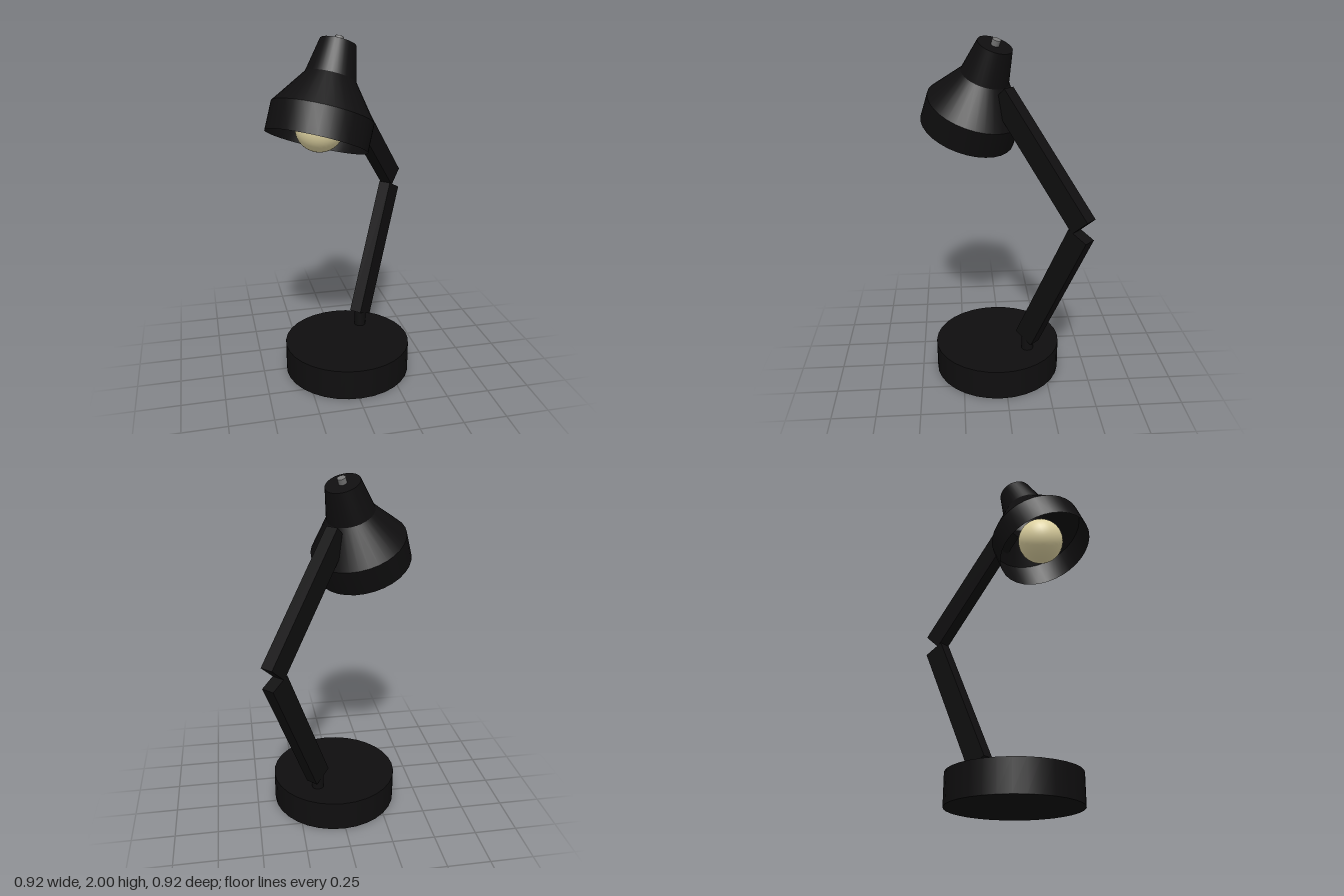
import * as THREE from 'three';
import { toCreasedNormals } from 'three/addons/utils/BufferGeometryUtils.js';

const paint = (color, side = THREE.FrontSide) => new THREE.MeshStandardMaterial({ color, side });

export function createModel() {
  const black = paint(0x0f0e0f);
  const blackShell = paint(0x0f0e0f, THREE.DoubleSide);
  const metal = paint(0x777777);
  const glass = paint(0xe2d6a4);

  const model = new THREE.Group();
  model.name = 'deskLamp';

  // The arms bend in one plane (local x, y), turned diagonally to the front
  const lamp = new THREE.Group();
  lamp.name = 'lamp';
  lamp.rotation.y = Math.PI / 4;
  model.add(lamp);

  const add = (parent, name, geometry, material, x, y, z = 0, tilt = 0) => {
    const mesh = new THREE.Mesh(geometry, material);
    mesh.name = name;
    mesh.position.set(x, y, z);
    mesh.rotation.z = tilt;
    parent.add(mesh);
    return mesh;
  };

  // Heavy round base and the short post on it
  add(lamp, 'base', new THREE.CylinderGeometry(0.375, 0.375, 0.18, 32), black, -0.016, 0.09, 0.034);
  add(lamp, 'post', new THREE.CylinderGeometry(0.035, 0.035, 0.12, 20), black, 0.195, 0.235);

  // Two equal flat arms
  const arm = new THREE.BoxGeometry(0.1275, 0.843, 0.075);
  add(lamp, 'lowerArm', arm, black, 0.371, 0.645, 0, -0.434);
  add(lamp, 'upperArm', arm, black, 0.2785, 1.39, 0, 0.739);

  // Tilted head, its origin at the centre of the rim
  const head = new THREE.Group();
  head.name = 'head';
  head.position.set(-0.271, 1.465, 0);
  head.rotation.z = -0.41;
  lamp.add(head);

  // Open shade: straight band, cone, neck and flat cap
  const profile = [[0.28, 0], [0.28, 0.157], [0.14, 0.351], [0.1, 0.54], [0, 0.54]]
    .map(([r, y]) => new THREE.Vector2(r, y));
  const shade = toCreasedNormals(new THREE.LatheGeometry(profile, 32), 0.35);
  add(head, 'shade', shade, blackShell, 0, 0);
  add(head, 'bulb', new THREE.SphereGeometry(0.133, 32, 24), glass, 0, 0.08);
  add(head, 'switchKnob', new THREE.CylinderGeometry(0.024, 0.024, 0.05, 20), metal, 0, 0.548);

  return model;
}
